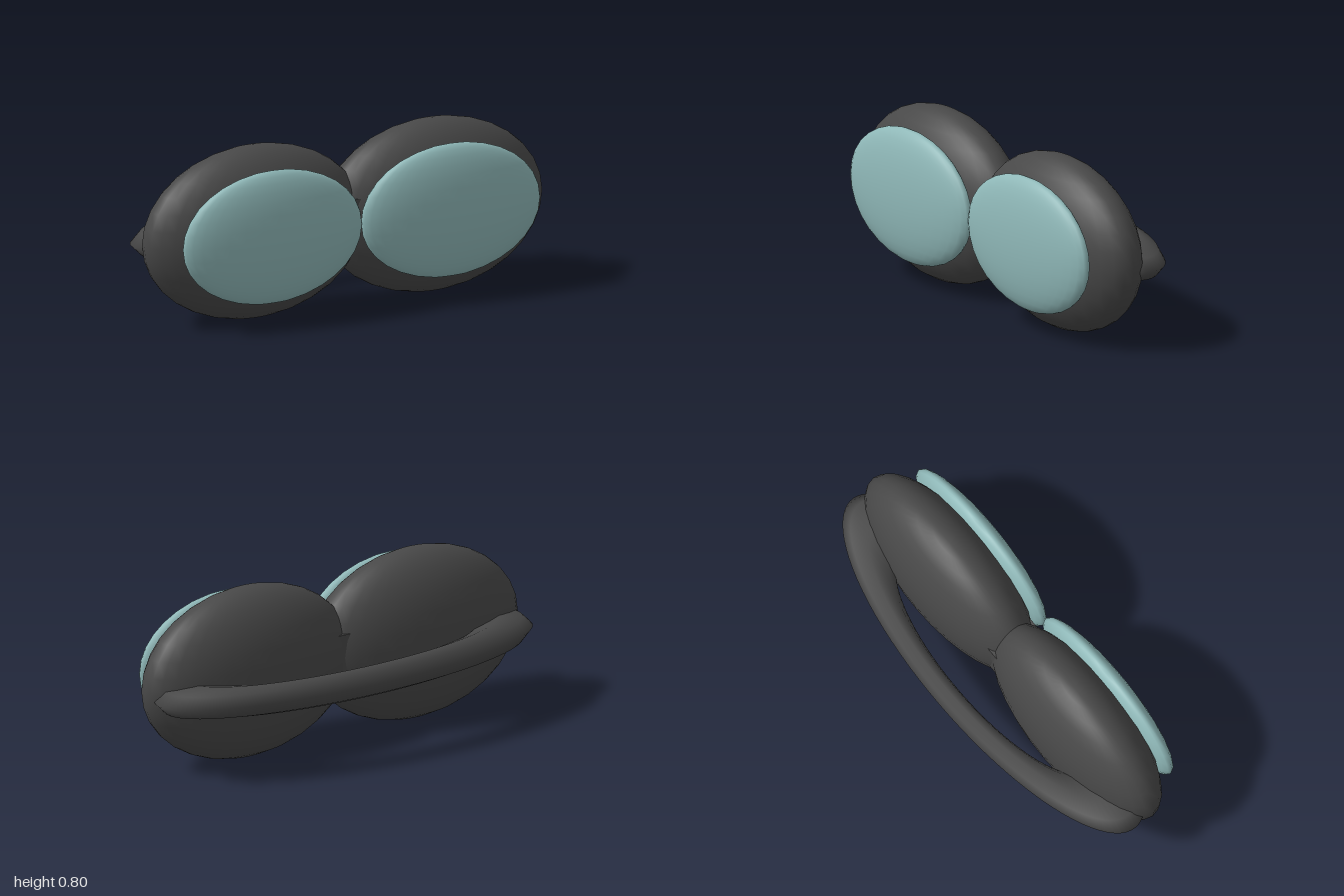
import * as THREE from 'three';

const frameMaterial = new THREE.MeshStandardMaterial({ color: 0x484848 });
frameMaterial.name = 'charcoal';
const lensMaterial = new THREE.MeshStandardMaterial({ color: 0x8fb8b8 });
lensMaterial.name = 'pale teal';

function addMesh(group, name, geometry, material, x, y, z) {
  const mesh = new THREE.Mesh(geometry, material);
  mesh.name = name;
  mesh.position.set(x, y, z);
  group.add(mesh);
}

export function createModel() {
  const goggles = new THREE.Group();
  goggles.name = 'goggles';

  // Ellipsoid eye cups with flatter lenses set into their fronts
  const cup = new THREE.SphereGeometry(1, 32, 16).scale(0.55, 0.398, 0.204);
  const lens = new THREE.SphereGeometry(1, 32, 16).scale(0.452, 0.307, 0.08);
  for (const [side, s] of [['left', 1], ['right', -1]]) {
    addMesh(goggles, side + 'EyeCup', cup, frameMaterial, s * 0.45, 0.4, 0.08);
    addMesh(goggles, side + 'Lens', lens, lensMaterial, s * 0.45, 0.418, 0.26);
  }

  // Nose bridge, mostly buried between the cups
  addMesh(goggles, 'noseBridge', new THREE.BoxGeometry(0.12, 0.2, 0.235), frameMaterial, 0, 0.41, 0.08);

  // Head strap: stretched half ring whose ends run into the cups
  const overrun = 0.25;
  const strap = new THREE.TorusGeometry(1, 0.2157, 8, 48, Math.PI + 2 * overrun);
  strap.rotateZ(-overrun).rotateX(-Math.PI / 2).scale(0.822, 0.334, 0.255);
  addMesh(goggles, 'headStrap', strap, frameMaterial, 0, 0.374, -0.03);

  return goggles;
}
